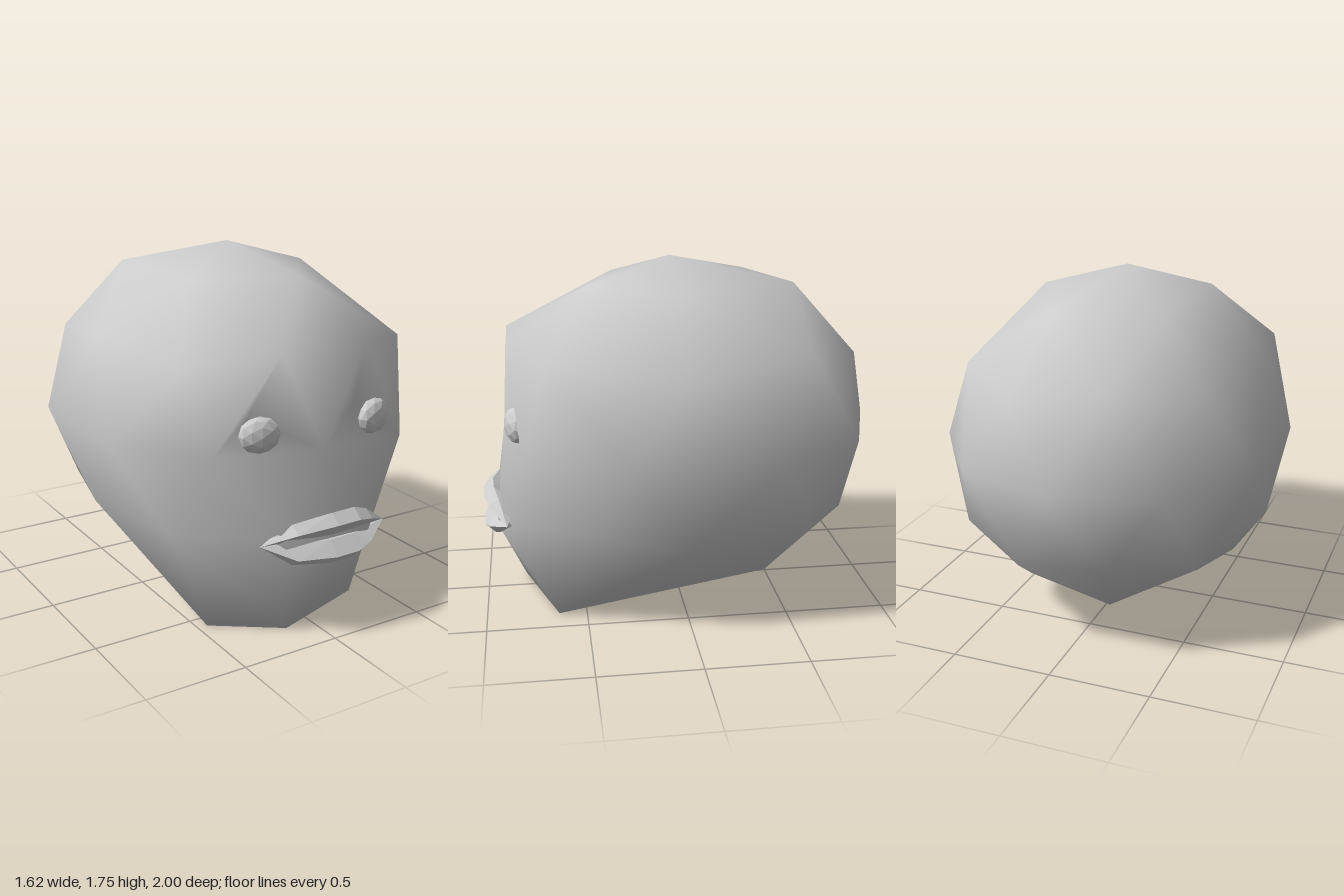
import * as THREE from 'three';
import { mergeVertices } from 'three/addons/utils/BufferGeometryUtils.js';
import { ConvexGeometry } from 'three/addons/geometries/ConvexGeometry.js';

// Skull: a coarse ball with a vertex at its top, the front half pulled forward and sculpted
function headGeometry() {
  const R = 0.85;
  let geo = new THREE.IcosahedronGeometry(R, 1);
  geo.rotateX(-Math.atan((1 + Math.sqrt(5)) / 2)).rotateY(Math.PI / 2).translate(0, 0.9, -0.15);
  geo.deleteAttribute('normal');
  geo.deleteAttribute('uv');
  geo = mergeVertices(geo, 1e-3);
  const pos = geo.attributes.position;
  const verts = [];
  for (let i = 0; i < pos.count; i++) {
    const v = new THREE.Vector3().fromBufferAttribute(pos, i);
    if (v.z > -0.2 && v.y > 0.1) v.z += 0.18;
    verts.push(v);
  }

  // Pull the nearest vertex to a new place
  const moves = [
    // chin
    [[-0.45, 0.17, 0.03], [-0.45, 0, 0.58]],
    [[0.36, 0.17, 0.29], [0.36, 0, 0.64]],
    [[-0.14, 0.17, 0.46], [-0.14, 0, 0.8]],
    // mouth
    [[-0.24, 0.52, 0.75], [-0.24, 0.52, 0.93]],
    [[0.22, 0.45, 0.72], [0.22, 0.45, 0.93]],
    // cheek
    [[0.5, 0.9, 0.72], [0.52, 0.86, 0.79]],
    // brow
    [[-0.22, 1.35, 0.72], [-0.22, 1.37, 0.85]],
    [[0.24, 1.28, 0.75], [0.24, 1.37, 0.85]],
    [[-0.62, 1.28, 0.48], [-0.62, 1.3, 0.64]],
    [[0.59, 1.35, 0.46], [0.57, 1.33, 0.68]],
  ];
  const targets = moves.map(([from]) => {
    const p = new THREE.Vector3(...from);
    return verts.reduce((a, b) => (b.distanceTo(p) < a.distanceTo(p) ? b : a));
  });
  moves.forEach(([, to], i) => targets[i].set(...to));

  // Sink an eye socket into the face that holds each eye
  const sockets = [new THREE.Vector3(0.31, 1.04, 0.69), new THREE.Vector3(-0.3, 1.04, 0.68)];
  const flat = v => new THREE.Vector3(v.x, v.y, 0);
  const index = [];
  const old = geo.index.array;
  for (let i = 0; i < old.length; i += 3) {
    const [a, b, c] = [old[i], old[i + 1], old[i + 2]];
    const tri = new THREE.Triangle(flat(verts[a]), flat(verts[b]), flat(verts[c]));
    const facesFront = Math.min(verts[a].z, verts[b].z, verts[c].z) > 0.3;
    const socket = facesFront && sockets.find(s => tri.containsPoint(flat(s)));
    if (socket) {
      const n = verts.push(socket) - 1;
      index.push(a, b, n, b, c, n, c, a, n);
    } else index.push(a, b, c);
  }
  const out = new THREE.BufferGeometry().setFromPoints(verts);
  out.setIndex(index);
  out.computeVertexNormals();
  return out;
}

// Faceted eyeball, flattened front to back
function eyeGeometry() {
  const geo = new THREE.IcosahedronGeometry(0.1, 1);
  geo.scale(1, 0.87, 0.5);
  geo.computeVertexNormals();
  return geo;
}

// Faceted lip tapering to both mouth corners; dir is 1 for upper, -1 for lower
function lipGeometry(dir) {
  const points = [new THREE.Vector3(-0.35, 0.5, 0.88), new THREE.Vector3(0.36, 0.485, 0.88)];
  for (const [x, height, push] of [[-0.2, 0.1, 0.97], [0, 0.125, 1], [0.13, 0.125, 0.995], [0.22, 0.09, 0.97]]) {
    points.push(
      new THREE.Vector3(x, 0.492 + dir * height, push - 0.05),
      new THREE.Vector3(x, 0.492 + dir * height * 0.62, push),
      new THREE.Vector3(x, 0.492 + dir * 0.012, push - 0.06),
      new THREE.Vector3(x, 0.492 + dir * height * 0.6, push - 0.13),
    );
  }
  return new ConvexGeometry(points);
}

export function createModel() {
  const group = new THREE.Group();
  const grey = new THREE.MeshStandardMaterial({ color: 0xcccccc });
  grey.name = 'grey';
  const add = (name, geo) => {
    const mesh = new THREE.Mesh(geo, grey);
    mesh.name = name;
    group.add(mesh);
    return mesh;
  };

  add('head', headGeometry());

  // Eyes turned slightly outward
  const leftEye = add('leftEye', eyeGeometry());
  leftEye.position.set(0.325, 0.995, 0.82);
  leftEye.rotation.y = 0.25;
  const rightEye = add('rightEye', eyeGeometry());
  rightEye.position.set(-0.305, 1.0, 0.8);
  rightEye.rotation.y = -0.25;

  add('upperLip', lipGeometry(1));
  add('lowerLip', lipGeometry(-1));
  return group;
}
